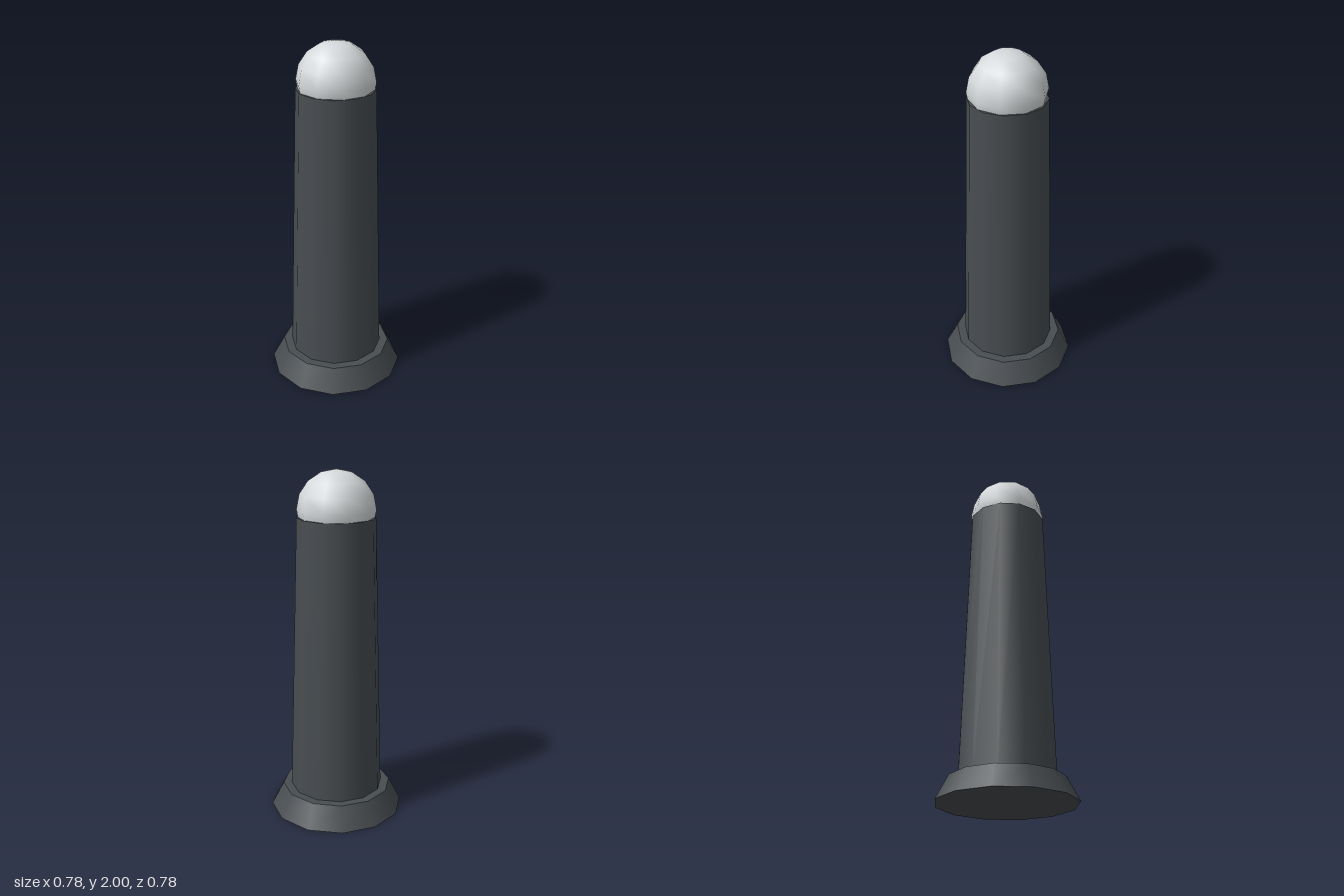
import * as THREE from 'three';

export function createModel() {
  const group = new THREE.Group();
  const dark = new THREE.MeshStandardMaterial({ color: 0x484d51 });
  const pale = new THREE.MeshStandardMaterial({ color: 0xd5d9db });

  const add = (name, geometry, material, y) => {
    const mesh = new THREE.Mesh(geometry, material);
    mesh.name = name;
    mesh.position.y = y;
    group.add(mesh);
  };

  // Tapered twelve-sided section standing between two heights
  const taper = (name, rTop, rBottom, y0, y1) =>
    add(name, new THREE.CylinderGeometry(rTop, rBottom, y1 - y0, 12), dark, (y0 + y1) / 2);

  // Flared foot and slim post
  taper('base', 0.32, 0.39, 0, 0.135);
  taper('post', 0.22, 0.27, 0.135, 1.74);

  // Rounded cap, sunk into the top of the post
  add('domeCap', new THREE.SphereGeometry(0.22, 10, 8), pale, 1.78);

  return group;
}
